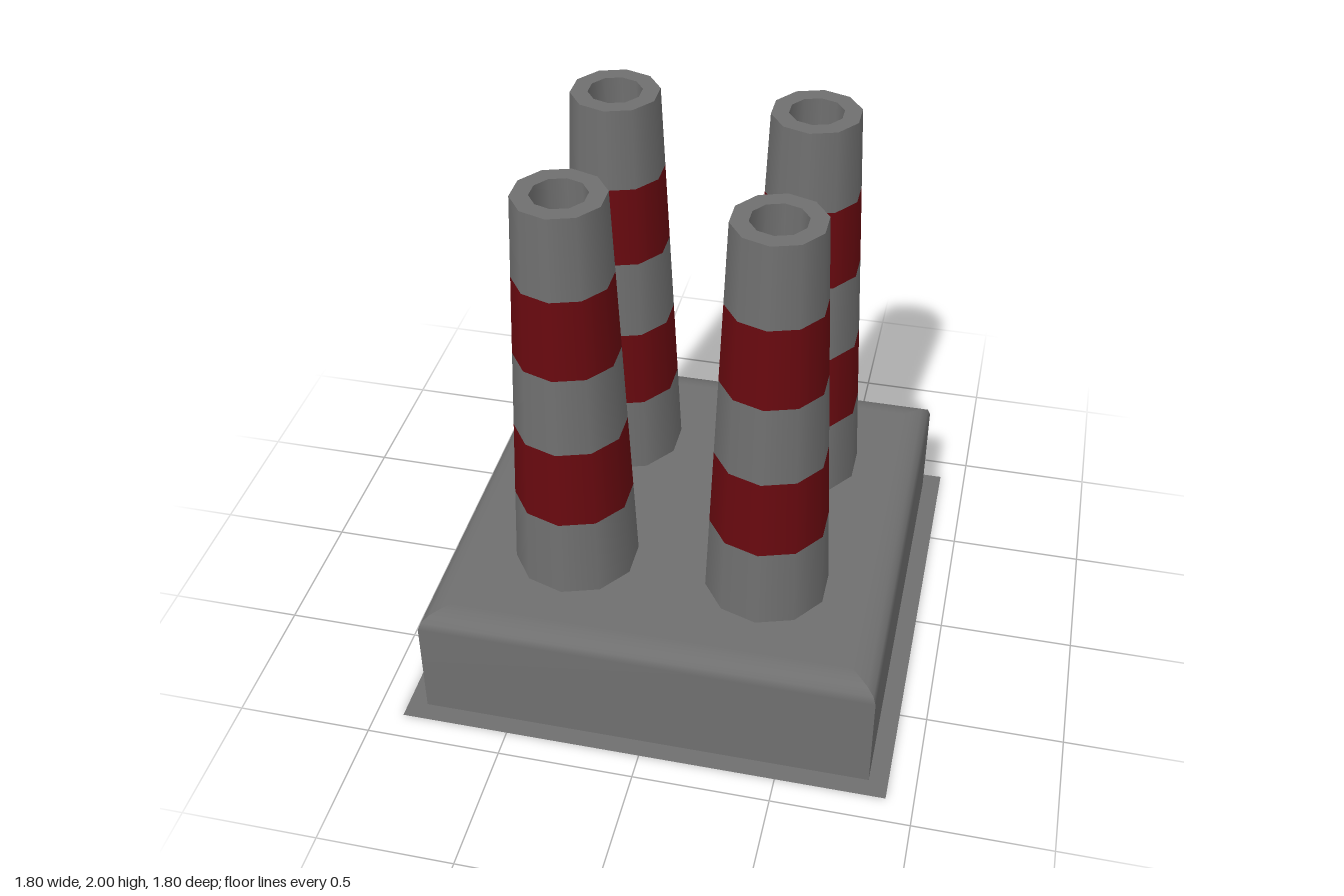
import * as THREE from 'three';

const SIDES = 10;
const BASE_TOP = 0.45, TOP = 2;
const R_BOTTOM = 0.228, R_TOP = 0.161, R_HOLE = 0.098, HOLE_DEPTH = 0.15;

const grey = new THREE.MeshStandardMaterial({ color: 0x6f6f6f, side: THREE.DoubleSide });
const red = new THREE.MeshStandardMaterial({ color: 0x68090f, side: THREE.DoubleSide });

function addMesh(parent, name, geometry, material = grey) {
  const mesh = new THREE.Mesh(geometry, material);
  mesh.name = name;
  parent.add(mesh);
  return mesh;
}

// One quarter of the hollow base: wall, rounded shoulder and its wedge of the roof
function baseSide() {
  const profile = [[0.83, 0], [0.83, 0.39], [0.82, 0.418], [0.795, 0.437], [0.76, 0.446], [0.73, BASE_TOP], [0, BASE_TOP]];
  const positions = [], index = [];
  profile.forEach(([half, y], i) => {
    positions.push(-half, y, half, half, y, half);
    if (i === 0) return;
    const a = 2 * (i - 1);
    index.push(a, a + 1, a + 3);
    if (half > 0) index.push(a, a + 3, a + 2);
  });
  const geometry = new THREE.BufferGeometry();
  geometry.setAttribute('position', new THREE.Float32BufferAttribute(positions, 3));
  geometry.setIndex(index);
  geometry.computeVertexNormals();
  return geometry;
}

// Flat square rim around the foot of the base
function flangeGeometry() {
  const square = (h) => [[-h, -h], [h, -h], [h, h], [-h, h]].map(([x, y]) => new THREE.Vector2(x, y));
  const shape = new THREE.Shape(square(0.9));
  shape.holes.push(new THREE.Path(square(0.83).reverse()));
  return new THREE.ShapeGeometry(shape).rotateX(-Math.PI / 2);
}

// Tapered striped chimney with a recessed opening
function createChimney() {
  const chimney = new THREE.Group();
  chimney.name = 'chimney';
  const bands = 5, h = (TOP - BASE_TOP) / bands;
  const radius = (t) => THREE.MathUtils.lerp(R_BOTTOM, R_TOP, t);
  for (let i = 0; i < bands; i++) {
    const geometry = new THREE.CylinderGeometry(radius((i + 1) / bands), radius(i / bands), h, SIDES, 1, true);
    addMesh(chimney, i % 2 ? 'redBand' : 'greyBand', geometry, i % 2 ? red : grey).position.y = BASE_TOP + h * (i + 0.5);
  }
  const rim = new THREE.RingGeometry(R_HOLE, R_TOP, SIDES, 1, Math.PI / 2).rotateX(-Math.PI / 2);
  addMesh(chimney, 'rim', rim).position.y = TOP;
  const flue = new THREE.CylinderGeometry(R_HOLE, R_HOLE, HOLE_DEPTH, SIDES, 1, true);
  addMesh(chimney, 'flueWall', flue).position.y = TOP - HOLE_DEPTH / 2;
  const floor = new THREE.CircleGeometry(R_HOLE, SIDES, Math.PI / 2).rotateX(-Math.PI / 2);
  addMesh(chimney, 'flueFloor', floor).position.y = TOP - HOLE_DEPTH;
  return chimney;
}

export function createModel() {
  const model = new THREE.Group();
  model.name = 'chimneyBlock';

  // Base
  const base = new THREE.Group();
  base.name = 'base';
  model.add(base);
  const side = baseSide();
  for (let i = 0; i < 4; i++) addMesh(base, 'baseSide', side).rotation.y = i * Math.PI / 2;
  addMesh(base, 'flange', flangeGeometry());

  // Chimneys
  for (const x of [-0.36, 0.36]) {
    for (const z of [-0.36, 0.36]) {
      const chimney = createChimney();
      chimney.position.set(x, 0, z);
      model.add(chimney);
    }
  }
  return model;
}
